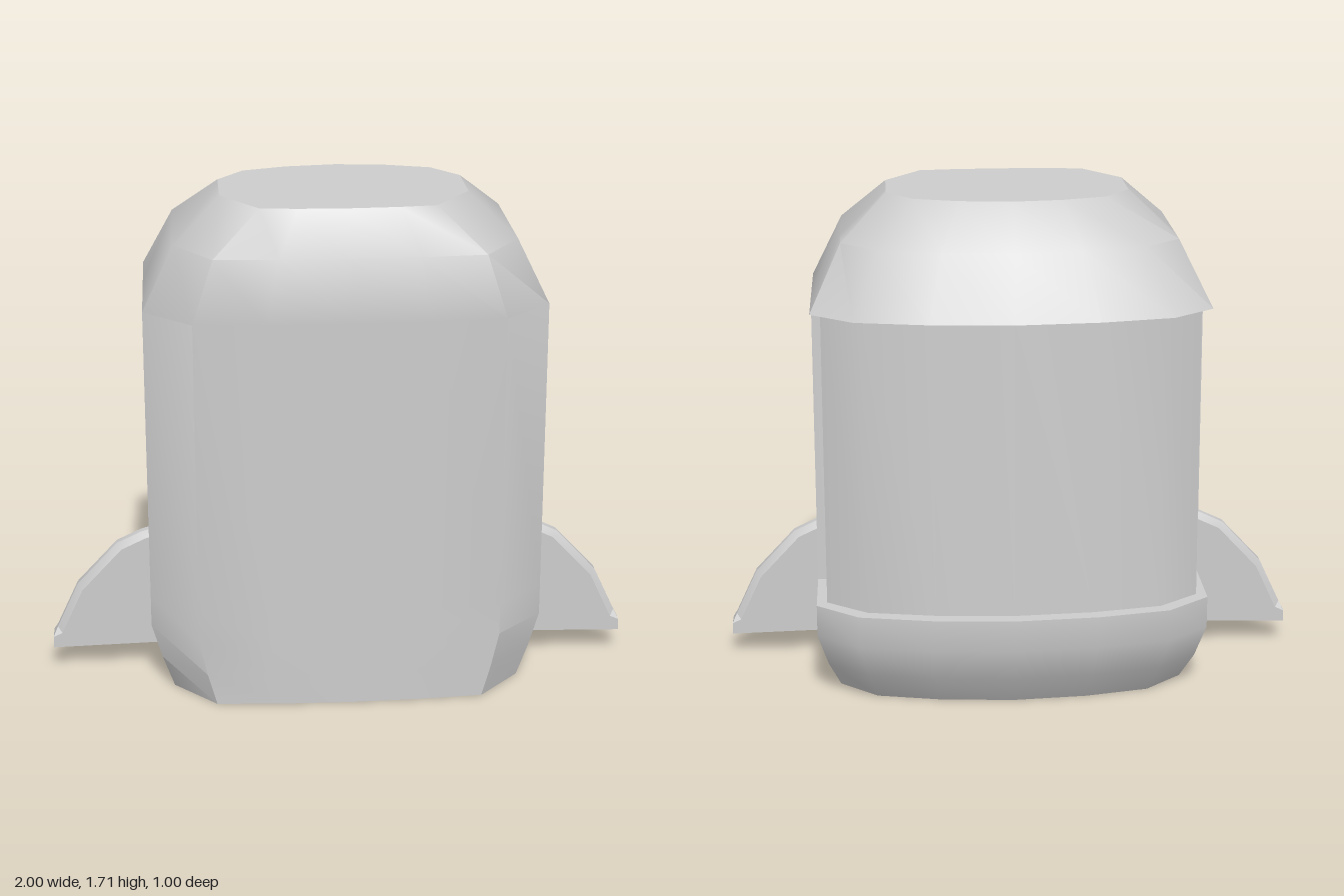
import * as THREE from 'three';
import { mergeGeometries, toCreasedNormals } from 'three/addons/utils/BufferGeometryUtils.js';

const material = new THREE.MeshStandardMaterial({ color: 0xcccccc });

function geometryFrom(points, index) {
  const g = new THREE.BufferGeometry();
  g.setAttribute('position', new THREE.Float32BufferAttribute(points.flat(), 3));
  g.setIndex(index);
  return g;
}

// Skin a list of equal-length rings and close both ends with flat caps.
function loft(rings, creaseDegrees) {
  const n = rings[0].length;
  const index = [];
  for (let i = 0; i < rings.length - 1; i++) {
    for (let j = 0; j < n; j++) {
      const k = (j + 1) % n;
      const a = i * n + j, b = i * n + k, c = b + n, d = a + n;
      index.push(a, d, c, a, c, b);
    }
  }
  const skin = toCreasedNormals(geometryFrom(rings.flat(), index), THREE.MathUtils.degToRad(creaseDegrees));
  const cap = (ring, flip) => {
    const centre = [0, 1, 2].map((k) => ring.reduce((s, p) => s + p[k], 0) / n);
    const fan = [];
    for (let j = 0; j < n; j++) {
      const k = (j + 1) % n;
      fan.push(n, flip ? k : j, flip ? j : k);
    }
    const g = geometryFrom([...ring, centre], fan).toNonIndexed();
    g.computeVertexNormals();
    return g;
  };
  return mergeGeometries([skin, cap(rings[0], false), cap(rings[rings.length - 1], true)]);
}

// One horizontal outline of the body, mirrored in x.
// hw: half width, back/backSide: rear z at middle and side, step: where the rear recess begins,
// frontSide/front: front z at side and middle, inset: how far the rear part is drawn in.
function outline({ y, hw, back, backSide, step, frontSide = 0.325, front = 0.5, inset = 0, corner = 0.76 }) {
  const bw = hw - inset;
  const backZ = (t) => THREE.MathUtils.lerp(backSide, back, t);
  const half = [
    [0, backZ(1)], [bw * 0.42, backZ(0.89)], [bw * 0.785, backZ(0.63)], [bw, backSide],
    [bw, step], [hw, step], [hw, frontSide],
    [hw * corner, front - 0.02], [hw * 0.4, front - 0.006], [0, front],
  ];
  const mirrored = half.slice(1, -1).reverse().map(([x, z]) => [-x, z]);
  return [...half, ...mirrored].map(([x, z]) => [x, y, z]);
}

function makeBody() {
  const rings = [
    // Tapered base
    { y: 0, hw: 0.595, back: -0.38, backSide: -0.2, step: -0.065 },
    { y: 0.11, hw: 0.635, back: -0.455, backSide: -0.28, step: -0.065 },
    { y: 0.23, hw: 0.67, back: -0.505, backSide: -0.32, step: -0.065 },
    { y: 0.34, hw: 0.67, back: -0.505, backSide: -0.32, step: -0.065 },
    // Recessed rear panel
    { y: 0.34, hw: 0.67, back: -0.455, backSide: -0.29, step: -0.065, inset: 0.035 },
    { y: 1.35, hw: 0.67, back: -0.42, backSide: -0.255, step: -0.045, inset: 0.035 },
    // Overhanging lid
    { y: 1.35, hw: 0.67, back: -0.465, backSide: -0.28, step: -0.045 },
    { y: 1.565, hw: 0.565, back: -0.36, backSide: -0.17, step: -0.02, frontSide: 0.29, corner: 0.78 },
    { y: 1.705, hw: 0.41, back: -0.21, backSide: -0.02, step: 0.03, frontSide: 0.2, front: 0.4, corner: 0.7 },
  ];
  const body = new THREE.Mesh(loft(rings.map(outline), 41.5), material);
  body.name = 'body';
  body.position.x = 0.015;
  return body;
}

// Swept side fin with a chamfered outer edge, reaching out along +x.
function makeFinGeometry() {
  const edge = [[0.6, 0.525], [0.685, 0.5], [0.77, 0.46], [0.91, 0.31], [0.985, 0.15], [1, 0.12], [1, 0.08]];
  const wide = 0.037, narrow = 0.014, rootX = 0.58;
  const rings = edge.map(([x, y], i) => {
    const blunt = i >= edge.length - 2;
    const rootY = THREE.MathUtils.lerp(0.48, 0.09, i / (edge.length - 1));
    const tip = blunt ? wide : narrow;
    const s = blunt ? 0 : 0.016;
    const qx = x - s, qy = y - s;
    return [
      [rootX, rootY, wide], [qx, qy, wide], [x, y, tip],
      [x, y, -tip], [qx, qy, -wide], [rootX, rootY, -wide],
    ];
  });
  return loft(rings, 25);
}

export function createModel() {
  const model = new THREE.Group();
  model.name = 'finnedCapsule';
  model.add(makeBody());

  const finGeometry = makeFinGeometry();
  for (const [name, turn] of [['leftFin', 0], ['rightFin', Math.PI]]) {
    const fin = new THREE.Mesh(finGeometry, material);
    fin.name = name;
    fin.rotation.y = turn;
    fin.position.z = 0.125;
    model.add(fin);
  }
  return model;
}
